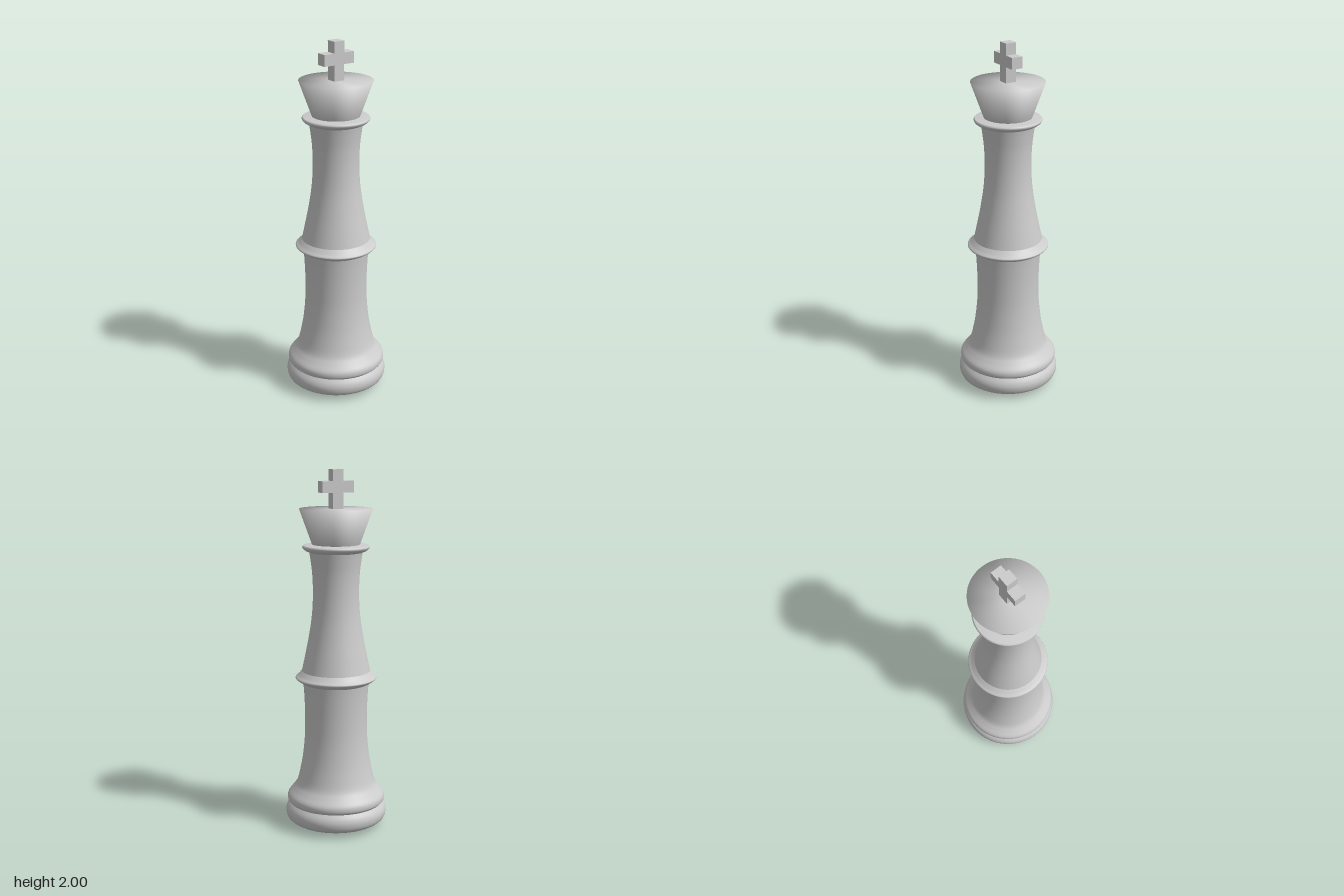
import * as THREE from 'three';

const material = new THREE.MeshStandardMaterial({ color: 0xcccccc, side: THREE.DoubleSide });

// Turned part from [radius, height] pairs, listed bottom to top
function turned(name, profile) {
  const points = profile.map(([r, y]) => new THREE.Vector2(r, y));
  const mesh = new THREE.Mesh(new THREE.LatheGeometry(points, 64), material);
  mesh.name = name;
  return mesh;
}

// Smooth curve through a few profile points
function smooth(profile, divisions) {
  const curve = new THREE.SplineCurve(profile.map(([r, y]) => new THREE.Vector2(r, y)));
  return curve.getPoints(divisions).map((p) => [p.x, p.y]);
}

export function createModel() {
  const group = new THREE.Group();
  group.name = 'chessKing';

  // Rounded foot with a slightly domed underside
  group.add(turned('foot', [[0, 0], [0.12, 0.006], [0.2, 0.013],
    ...smooth([[0.245, 0.024], [0.275, 0.045], [0.285, 0.08], [0.279, 0.11], [0.262, 0.135]], 16)]));

  // Second moulding, swept into the lower stem
  group.add(turned('lowerStem', smooth([[0.262, 0.135], [0.274, 0.15], [0.272, 0.18], [0.245, 0.215],
    [0.222, 0.25], [0.205, 0.31], [0.188, 0.4], [0.176, 0.52], [0.174, 0.65], [0.178, 0.76], [0.183, 0.825]], 48)));

  // Pointed middle collar
  group.add(turned('middleCollar', smooth([[0.183, 0.825], [0.205, 0.837], [0.226, 0.855],
    [0.21, 0.872], [0.19, 0.895]], 16)));

  // Tapered upper stem
  group.add(turned('upperStem', smooth([[0.19, 0.895], [0.174, 0.97], [0.152, 1.08], [0.134, 1.2],
    [0.127, 1.32], [0.13, 1.43], [0.139, 1.51], [0.146, 1.555]], 32)));

  // Thin collar under the crown
  group.add(turned('upperCollar', [...smooth([[0.146, 1.555], [0.165, 1.563], [0.18, 1.574],
    [0.184, 1.585], [0.178, 1.593]], 14), [0.13, 1.598]]));

  // Flared crown with a flat top
  group.add(turned('crown', [[0.13, 1.595], [0.2, 1.79], [0, 1.79]]));

  // Cross finial
  const a = 0.031, w = 0.093, bottom = 1.785, low = 1.876, high = 1.938, top = 2;
  const outline = [[-a, bottom], [a, bottom], [a, low], [w, low], [w, high], [a, high],
    [a, top], [-a, top], [-a, high], [-w, high], [-w, low], [-a, low]];
  const shape = new THREE.Shape(outline.map(([x, y]) => new THREE.Vector2(x, y)));
  const cross = new THREE.Mesh(
    new THREE.ExtrudeGeometry(shape, { depth: 2 * a, bevelEnabled: false }), material);
  cross.position.z = -a;
  cross.name = 'cross';
  group.add(cross);

  return group;
}
